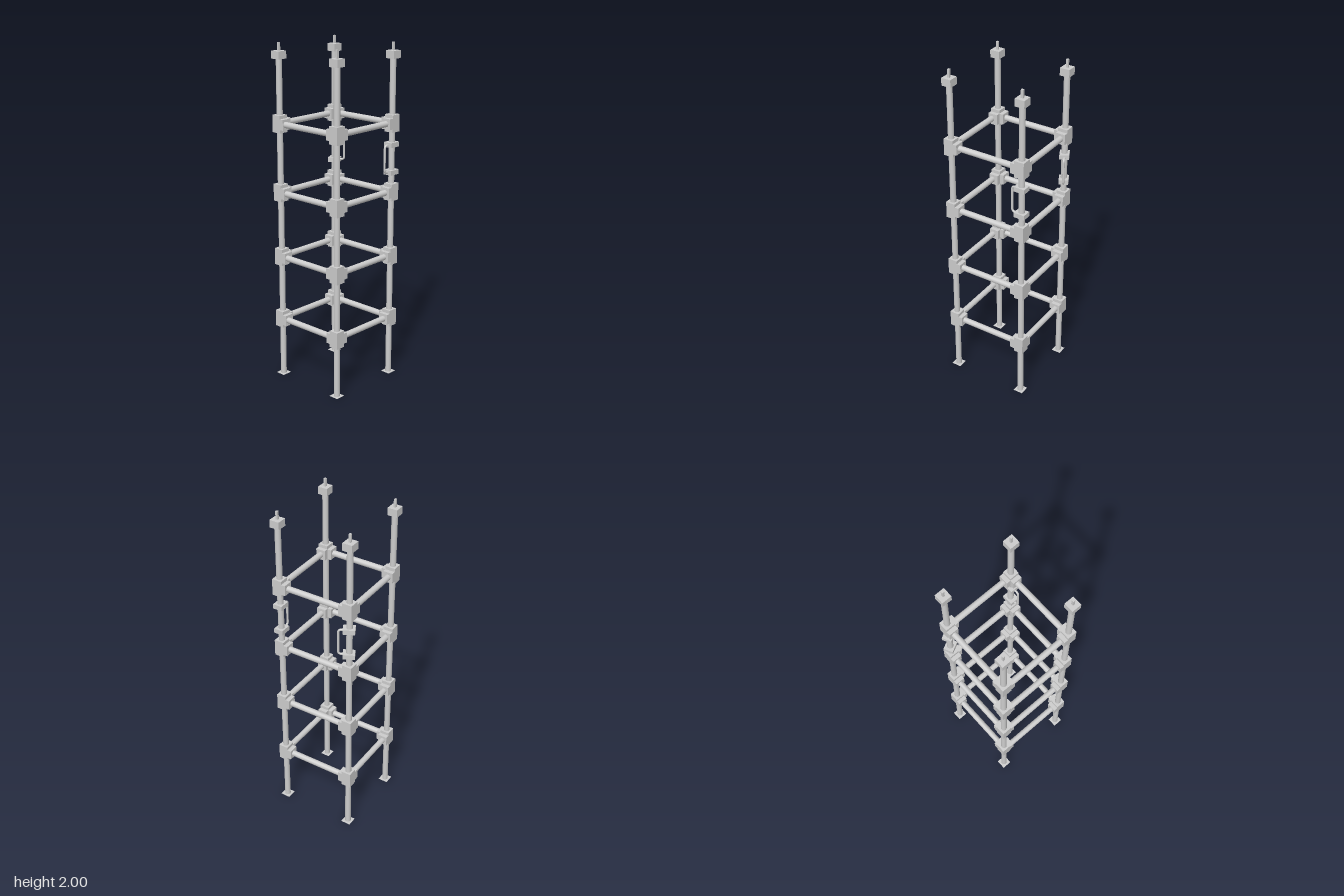
import * as THREE from 'three';

const grey = new THREE.MeshStandardMaterial({ color: 0xcccccc });
const LEVELS = [0.36, 0.75, 1.14, 1.543];
const TUBE_R = 0.0175;
const BLOCK = 0.059;

function add(parent, name, geometry, x = 0, y = 0, z = 0) {
  const mesh = new THREE.Mesh(geometry, grey);
  mesh.name = name;
  mesh.position.set(x, y, z);
  parent.add(mesh);
  return mesh;
}

// Upright: foot plate, tube, top cap and square pin
function makePost(x, z) {
  const post = new THREE.Group();
  post.name = 'post';
  post.position.set(x, 0, z);
  add(post, 'footPlate', new THREE.BoxGeometry(BLOCK, 0.002, BLOCK), 0, 0.001, 0);
  add(post, 'postTube', new THREE.CylinderGeometry(TUBE_R, TUBE_R, 1.92, 24), 0, 0.96, 0);
  add(post, 'topCap', new THREE.BoxGeometry(BLOCK, 0.044, BLOCK), 0, 1.931, 0);
  add(post, 'topPin', new THREE.BoxGeometry(0.013, 0.05, 0.013), 0, 1.975, 0);
  return post;
}

// Corner joint: tall block with two shorter sockets facing the neighbouring posts
function makeJoint(x, y, z) {
  const joint = new THREE.Group();
  joint.name = 'cornerJoint';
  joint.position.set(x, y, z);
  const sx = -Math.sign(x), sz = -Math.sign(z), len = 0.025;
  const reach = BLOCK / 2 + len / 2;
  add(joint, 'jointBlock', new THREE.BoxGeometry(BLOCK, 0.1, BLOCK));
  add(joint, 'sideSocket', new THREE.BoxGeometry(len, 0.062, BLOCK), sx * reach, 0, 0);
  add(joint, 'depthSocket', new THREE.BoxGeometry(BLOCK, 0.062, len), 0, 0, sz * reach);
  return joint;
}

// Horizontal tube, along x or z
function makeRail(length, alongX, x, y, z) {
  const geometry = new THREE.CylinderGeometry(TUBE_R, TUBE_R, length, 24);
  if (alongX) geometry.rotateZ(Math.PI / 2);
  else geometry.rotateX(Math.PI / 2);
  const rail = new THREE.Mesh(geometry, grey);
  rail.name = 'rail';
  rail.position.set(x, y, z);
  return rail;
}

// Grab handle pointing along local +x, held by two clamps
function makeHandle(x, z, angle) {
  const handle = new THREE.Group();
  handle.name = 'grabHandle';
  handle.position.set(x, 1.338, z);
  handle.rotation.y = angle;
  for (const s of [1, -1]) {
    add(handle, 'clamp', new THREE.BoxGeometry(0.068, 0.028, 0.056), 0.002, s * 0.081, 0);
  }
  const v = (px, py) => new THREE.Vector3(px, py, 0);
  const path = new THREE.CurvePath();
  path.add(new THREE.LineCurve3(v(0.03, 0.079), v(0.046, 0.079)));
  path.add(new THREE.QuadraticBezierCurve3(v(0.046, 0.079), v(0.061, 0.077), v(0.061, 0.06)));
  path.add(new THREE.LineCurve3(v(0.061, 0.06), v(0.061, -0.06)));
  path.add(new THREE.QuadraticBezierCurve3(v(0.061, -0.06), v(0.061, -0.077), v(0.046, -0.079)));
  path.add(new THREE.LineCurve3(v(0.046, -0.079), v(0.03, -0.079)));
  add(handle, 'handleBar', new THREE.TubeGeometry(path, 60, 0.0065, 12, false));
  return handle;
}

export function createModel() {
  const tower = new THREE.Group();
  tower.name = 'tower';
  const left = 0.23, right = -0.22, back = -0.226;
  const corners = [[right, back], [left, back], [right, 0.224], [left, 0.232]];

  for (const [x, z] of corners) {
    tower.add(makePost(x, z));
    for (const y of LEVELS) tower.add(makeJoint(x, y, z));
  }

  // Four rails on every level
  for (const y of LEVELS) {
    for (const z of [back, 0.232]) tower.add(makeRail(left - right, true, (left + right) / 2, y, z));
    for (const x of [left, right]) tower.add(makeRail(0.45, false, x, y, 0));
  }

  // Handles on the two back posts
  tower.add(makeHandle(right, back, 0.47));
  tower.add(makeHandle(left, back, -Math.PI / 2));
  return tower;
}
